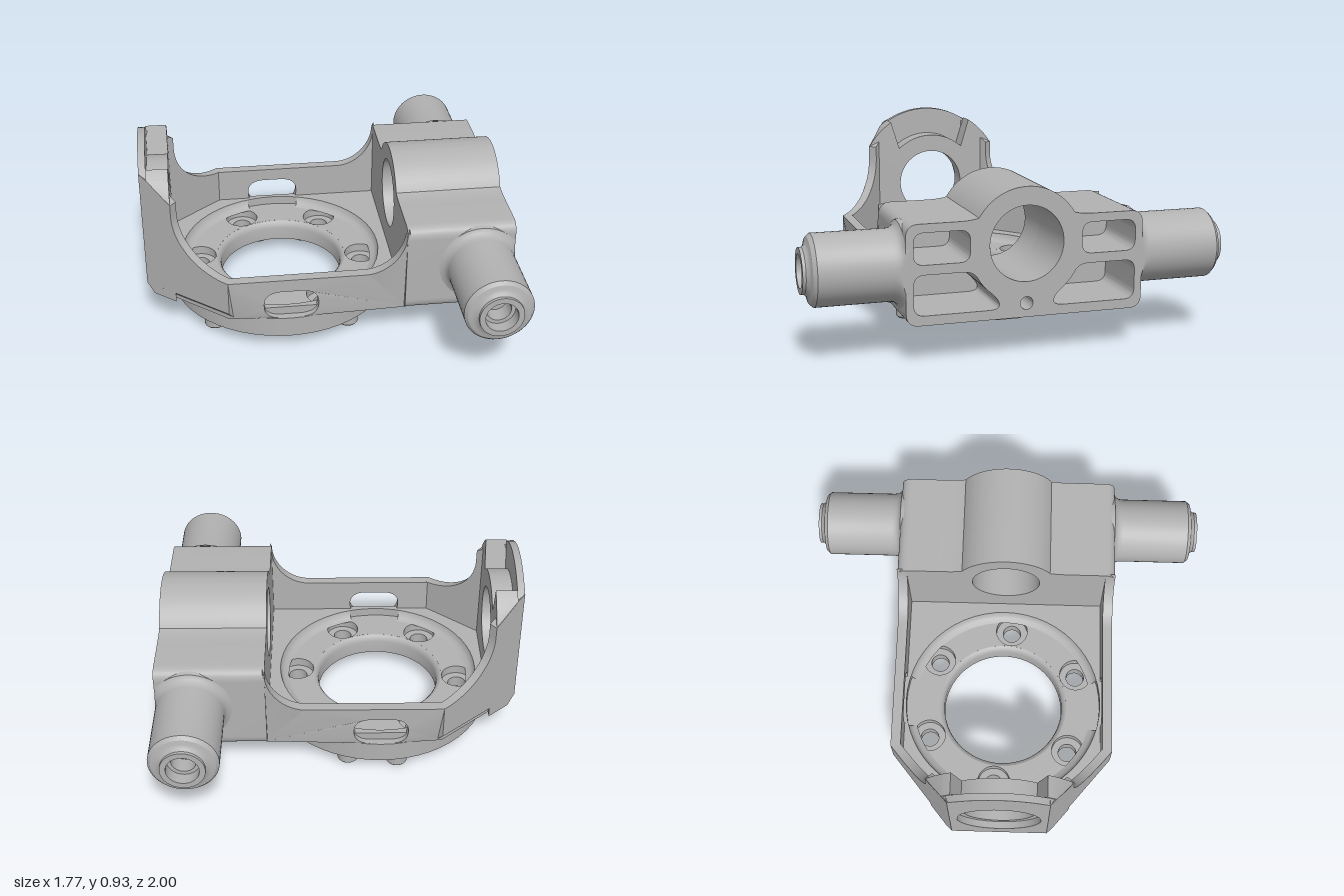
import * as THREE from 'three';
import { toCreasedNormals } from 'three/addons/utils/BufferGeometryUtils.js';

const BORE_Y = 0.525; // height of the long bore axis
const RING_X = -0.2;  // centre of the round flange

export function createModel() {
  const root = new THREE.Group();
  root.name = 'gearHousing';
  const metal = new THREE.MeshStandardMaterial({ color: 0xb2b2b2, side: THREE.DoubleSide });
  metal.name = 'greyMetal';

  const add = (name, geo, parent = root) => {
    const mesh = new THREE.Mesh(toCreasedNormals(geo, 0.6), metal);
    mesh.name = name;
    parent.add(mesh);
    return mesh;
  };
  const extrude = (shape, depth) =>
    new THREE.ExtrudeGeometry(shape, { depth, bevelEnabled: false, curveSegments: 28 });
  const alongX = (shape, x0, x1) => extrude(shape, x1 - x0).rotateY(Math.PI / 2).translate(x0, 0, 0);
  const alongY = (shape, y0, y1) => extrude(shape, y1 - y0).rotateX(-Math.PI / 2).translate(0, y0, 0);
  const circle = (x, y, r) => new THREE.Path().absarc(x, y, r, 0, Math.PI * 2, true);
  const lathe = (pts, seg = 48, ...phi) =>
    new THREE.LatheGeometry(pts.map(p => new THREE.Vector2(...p)), seg, ...phi);
  const reshape = (geo, rule) => {
    const pos = geo.attributes.position, v = new THREE.Vector3();
    for (let i = 0; i < pos.count; i++) {
      rule(v.fromBufferAttribute(pos, i));
      pos.setXYZ(i, v.x, v.y, v.z);
    }
    return geo;
  };
  // closed polygon with rounded corners
  const rounded = (pts, r, Type = THREE.Path) => {
    const path = new Type(), v = pts.map(p => new THREE.Vector2(...p)), n = v.length;
    v.forEach((p, i) => {
      const toward = q => {
        const d = q.clone().sub(p);
        return p.clone().addScaledVector(d.clone().normalize(), Math.min(r, d.length() * 0.48));
      };
      const a = toward(v[(i + n - 1) % n]), b = toward(v[(i + 1) % n]);
      if (i) path.lineTo(a.x, a.y); else path.moveTo(a.x, a.y);
      path.quadraticCurveTo(p.x, p.y, b.x, b.y);
    });
    path.closePath();
    return path;
  };

  // Round mounting flange with six counterbored screw holes
  const flangeShape = holeR => {
    const s = new THREE.Shape().absarc(RING_X, 0, 0.565, 0, Math.PI * 2);
    s.holes.push(circle(RING_X, 0, 0.334));
    for (let i = 0; i < 6; i++) {
      const a = (5 + 60 * i) * Math.PI / 180;
      s.holes.push(circle(RING_X + 0.42 * Math.cos(a), -0.42 * Math.sin(a), holeR));
    }
    return s;
  };
  add('flangeLower', alongY(flangeShape(0.047), 0.085, 0.145));
  add('flangeUpper', alongY(flangeShape(0.083), 0.145, 0.19));
  add('flangeInnerLip', lathe([[0.335, 0.19], [0.323, 0.185], [0.314, 0.172], [0.31, 0.155],
    [0.31, 0.085], [0.335, 0.085]], 64).translate(RING_X, 0, 0));

  // Locating pegs under the flange, three pairs
  for (const deg of [20, 50, 140, 170, 260, 290]) {
    const a = deg * Math.PI / 180;
    add('peg', lathe([[0, 0], [0.045, 0], [0.052, 0.008], [0.052, 0.1]], 24)
      .translate(RING_X + 0.475 * Math.cos(a), 0, 0.475 * Math.sin(a)));
  }

  // Tray floor with a rounded seat around the flange, open at the side slots
  const floor = new THREE.Shape([[0.37, -0.53], [0.37, 0.53], [-0.5, 0.53], [-0.86, 0.23],
    [-0.86, -0.23], [-0.5, -0.53]].map(p => new THREE.Vector2(...p)));
  floor.holes.push(circle(RING_X, 0, 0.509));
  add('trayFloor', alongY(floor, 0.186, 0.235));
  for (const start of [0.27, Math.PI + 0.27]) {
    add('seatFillet', lathe([[0.509, 0.235], [0.503, 0.215], [0.49, 0.2], [0.465, 0.191]], 48,
      start, Math.PI - 0.54).translate(RING_X, 0, 0));
  }

  // Long side walls with slots, and slanted walls rising to the end plate
  const wall = new THREE.Shape();
  wall.moveTo(-0.5, 0.185).lineTo(0.37, 0.185).lineTo(0.37, 0.64).lineTo(0.36, 0.62);
  wall.bezierCurveTo(0.36, 0.51, 0.27, 0.41, 0.16, 0.41).lineTo(-0.5, 0.41);
  wall.holes.push(rounded([[-0.33, 0.193], [-0.33, 0.345], [-0.065, 0.345], [-0.065, 0.193]], 0.09));
  const len = Math.hypot(0.39, 0.32), k = len / 0.39;
  const slant = new THREE.Shape();
  slant.moveTo(0, 0.185).lineTo(len, 0.185).lineTo(len, 0.857).lineTo(0.25 * k, 0.74).lineTo(0.25 * k, 0.68);
  slant.bezierCurveTo(0.25 * k, 0.53, 0.14 * k, 0.41, 0, 0.41);
  const dir = new THREE.Vector3(-0.39, 0, -0.32).normalize(), up = new THREE.Vector3(0, 1, 0);
  const slantFrame = new THREE.Matrix4().makeBasis(dir, up, dir.clone().cross(up)).setPosition(-0.5, 0, 0.56);

  // Trunnion with a base fillet, stepped nose and drilled end
  const trunnion = lathe([[0.205, 0.54], [0.2, 0.56], [0.18, 0.568], [0.168, 0.585], [0.165, 0.605],
    [0.165, 0.945], [0.15, 0.962], [0.13, 0.967], [0.115, 0.972], [0.105, 0.985], [0.105, 1],
    [0.077, 1], [0.077, 0.94], [0.058, 0.94], [0.058, 0.86], [0, 0.86]])
    .rotateX(Math.PI / 2).scale(1, -1, 1).rotateZ(Math.PI).translate(0.72, 0.433, 0);
  reshape(trunnion, v => { v.x = Math.min(v.x, 0.885); });
  // keep the nose pointing along +z
  trunnion.computeBoundingBox();
  if (trunnion.boundingBox.max.z < 0) trunnion.scale(1, 1, -1);

  for (const side of [1, -1]) {
    const half = new THREE.Group();
    half.name = side > 0 ? 'frontSide' : 'backSide';
    half.scale.z = side;
    root.add(half);
    add('sideWall', reshape(extrude(wall, 0.05).translate(0, 0, 0.51), v => {
      if (v.z > 0.55 && v.y < 0.19) v.z -= 0.03;
    }), half);
    add('slantedWall', reshape(extrude(slant, 0.045), v => {
      if (v.z < 0.01 && v.y < 0.19) v.y += 0.05;
    }).applyMatrix4(slantFrame), half);
    add('trunnion', trunnion.clone(), half);
  }

  // Tapered end plate: thin full back layer, thick front layer with a notch on top
  const plateShape = (notch, holeR) => {
    const s = new THREE.Shape(), top = Math.atan2(0.215, 0.355);
    s.moveTo(-0.355, 0.185).lineTo(0.355, 0.185);
    if (notch) {
      const a = Math.atan2(0.343, 0.225), b = Math.atan2(0.195, 0.18);
      s.absarc(0, BORE_Y, 0.412, top, a);
      s.absarc(0, BORE_Y, 0.265, b, Math.PI - b);
      s.absarc(0, BORE_Y, 0.412, Math.PI - a, Math.PI - top);
    } else s.absarc(0, BORE_Y, 0.405, top, Math.PI - top);
    s.holes.push(circle(0, BORE_Y, holeR));
    return s;
  };
  const taper = v => {
    const w = 0.355 - (-0.75 - v.x) * (0.115 / 0.14);
    if (Math.abs(v.z) > w) {
      v.z = Math.sign(v.z) * w;
      if (v.y > 0.6) v.y = BORE_Y + Math.sqrt(0.41 * 0.41 - w * w);
    }
    if (v.x < -0.88 && v.y < 0.2) v.y = 0.235;
  };
  add('endPlateBack', reshape(alongX(plateShape(false, 0.205), -0.89, -0.855), taper));
  add('endPlateFront', reshape(alongX(plateShape(true, 0.175), -0.855, -0.75), taper));

  // Bearing block: rounded box section blended into the round bore housing
  const blockShape = pockets => {
    const s = new THREE.Shape();
    s.moveTo(-0.5, 0.185).lineTo(0.5, 0.185).quadraticCurveTo(0.56, 0.185, 0.56, 0.245);
    s.lineTo(0.56, 0.585).quadraticCurveTo(0.56, 0.645, 0.5, 0.645);
    s.lineTo(0.33, 0.645).quadraticCurveTo(0.26, 0.645, 0.225, 0.655);
    s.absarc(0, BORE_Y, 0.26, Math.PI / 6, Math.PI * 5 / 6);
    s.quadraticCurveTo(-0.26, 0.645, -0.33, 0.645).lineTo(-0.5, 0.645);
    s.quadraticCurveTo(-0.56, 0.645, -0.56, 0.585).lineTo(-0.56, 0.245);
    s.quadraticCurveTo(-0.56, 0.185, -0.5, 0.185);
    s.holes.push(circle(0, BORE_Y, 0.175));
    if (pockets) {
      s.holes.push(circle(0, 0.25, 0.03));
      for (const m of [1, -1]) {
        s.holes.push(rounded([[0.265, 0.46], [0.525, 0.46], [0.525, 0.605], [0.265, 0.605]]
          .map(([z, y]) => [m * z, y]), 0.05));
        s.holes.push(rounded([[0.13, 0.23], [0.525, 0.23], [0.525, 0.415], [0.25, 0.415],
          [0.21, 0.345], [0.13, 0.275]].map(([z, y]) => [m * z, y]), 0.05));
      }
    }
    return s;
  };
  add('bearingBlockInner', alongX(blockShape(false), 0.36, 0.55));
  add('bearingBlockOuter', alongX(blockShape(true), 0.55, 0.885));

  // Key tab beneath the block
  add('keyTab', alongY(rounded([[0.33, -0.072], [0.64, -0.072], [0.64, 0.072], [0.33, 0.072]],
    0.03, THREE.Shape), 0.105, 0.19));

  return root;
}
